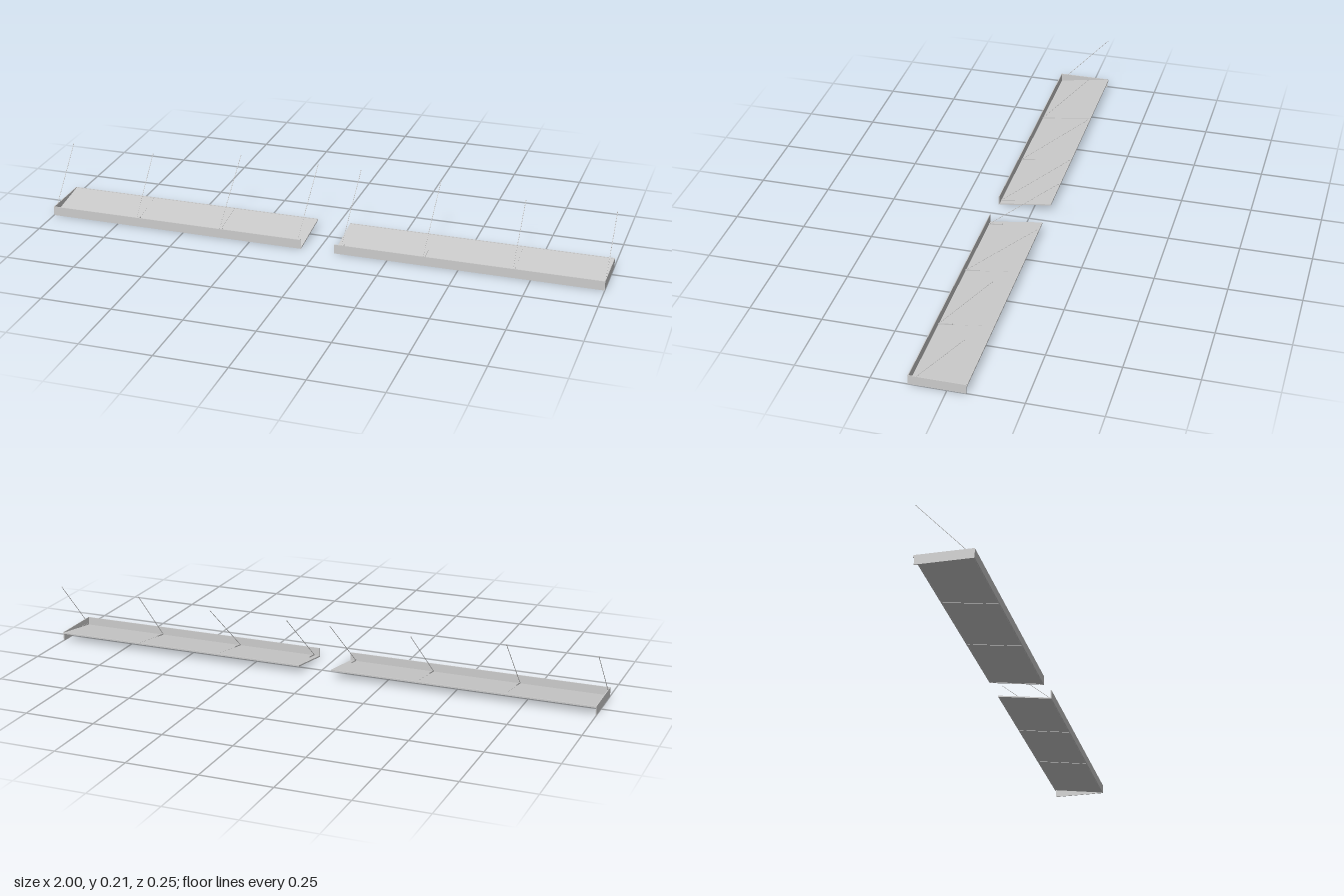
import * as THREE from 'three';

const mat = new THREE.MeshStandardMaterial({ color: 0xcccccc });

// Box given by its minimum and maximum corners
function box(name, a, b) {
  const g = new THREE.BoxGeometry(b[0] - a[0], b[1] - a[1], b[2] - a[2]);
  g.translate((a[0] + b[0]) / 2, (a[1] + b[1]) / 2, (a[2] + b[2]) / 2);
  const m = new THREE.Mesh(g, mat);
  m.name = name;
  return m;
}

// Thin strip following the roof slope (low at the front, high at the back)
const FRONT = { z: 0.123, y: 0.003 }, BACK = { z: -0.064, y: 0.030 };
function slopeBox(name, x0, x1, thick, drop = 0, f = FRONT, b = BACK) {
  const len = Math.hypot(f.z - b.z, b.y - f.y);
  const m = new THREE.Mesh(new THREE.BoxGeometry(x1 - x0, thick, len), mat);
  m.position.set((x0 + x1) / 2, (f.y + b.y) / 2 - drop, (f.z + b.z) / 2);
  m.rotation.x = Math.atan2(b.y - f.y, f.z - b.z);
  m.name = name;
  return m;
}

// Round bar between two points
function rod(name, p, q, r) {
  const d = q.clone().sub(p);
  const m = new THREE.Mesh(new THREE.CylinderGeometry(r, r, d.length(), 8), mat);
  m.position.copy(p).add(q).multiplyScalar(0.5);
  m.quaternion.setFromUnitVectors(new THREE.Vector3(0, 1, 0), d.normalize());
  m.name = name;
  return m;
}

// One canopy wing; side is +1 or -1
function wing(side) {
  const g = new THREE.Group();
  g.name = side > 0 ? 'leftCanopy' : 'rightCanopy';
  const X = (a, b) => (side > 0 ? [a, b] : [-b, -a]);
  const inner = 0.06, outer = 1, seams = [inner, 0.373, 0.686, outer];

  // Upright fascia and closed outer end
  const [f0, f1] = X(inner, outer);
  g.add(box('frontFascia', [f0, 0, 0.124], [f1, 0.033, 0.127]));
  const [e0, e1] = X(outer - 0.003, outer);
  g.add(box('endPanel', [e0, 0, -0.062], [e1, 0.033, 0.127]));

  // Three sloping roof panels
  for (let i = 0; i < 3; i++) {
    const [a, b] = X(seams[i] + (i ? 0.001 : 0), seams[i + 1] - 0.001);
    g.add(slopeBox('roofPanel', a, b, 0.003));
  }

  // Slim bars under the seams and the free edge
  for (const s of [inner + 0.002, seams[1], seams[2]]) {
    const [a, b] = X(s - 0.002, s + 0.002);
    g.add(slopeBox('roofBar', a, b, 0.004, 0.001));
  }
  g.add(box('backRail', [f0, 0.027, -0.065], [f1, 0.032, -0.061]));

  // Tie rods with foot plates and wall anchors
  [0.08, 0.371, 0.685, 0.998].forEach((x, i) => {
    const top = i < 2 ? [0.212, -0.125] : [0.205, -0.06];
    const p = new THREE.Vector3(side * x, 0.006, 0.124);
    const q = new THREE.Vector3(side * x, top[0], top[1]);
    g.add(rod('tieRod', p, q, 0.001));
    const [a, b] = X(x - 0.0015, x + 0.0015);
    g.add(slopeBox('footPlate', a, b, 0.006, 0, { z: 0.123, y: 0.006 }, { z: 0.075, y: 0.0125 }));
    const knob = new THREE.Mesh(new THREE.SphereGeometry(0.002, 10, 8), mat);
    knob.position.copy(q);
    knob.name = 'wallAnchor';
    g.add(knob);
  });
  return g;
}

export function createModel() {
  const model = new THREE.Group();
  model.name = 'canopies';
  model.add(wing(1), wing(-1));
  return model;
}
